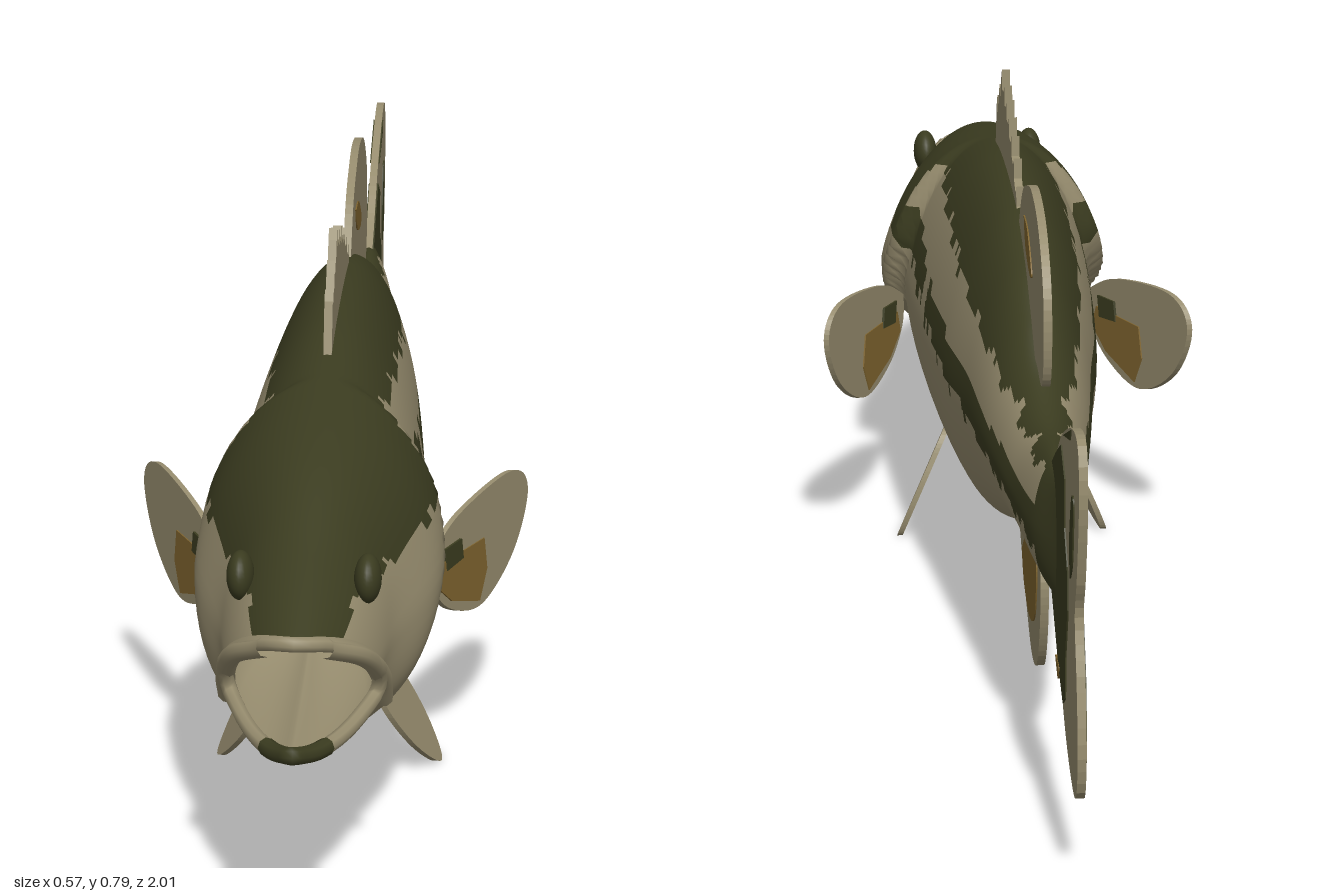
import * as THREE from 'three';

const mat = (name, color, side = THREE.FrontSide) =>
  Object.assign(new THREE.MeshStandardMaterial({ color, side }), { name });
const { lerp, smoothstep } = THREE.MathUtils;

// body stations: z, top y, bottom y, half width
const STATIONS = [
  [-0.72, 0.48, 0.30, 0.006], [-0.64, 0.49, 0.30, 0.036], [-0.5, 0.485, 0.305, 0.055],
  [-0.4, 0.515, 0.29, 0.068], [-0.3, 0.575, 0.255, 0.082], [-0.2, 0.625, 0.22, 0.094],
  [-0.05, 0.66, 0.17, 0.115], [0.2, 0.66, 0.145, 0.135], [0.4, 0.63, 0.16, 0.143],
  [0.6, 0.59, 0.2, 0.135], [0.78, 0.525, 0.25, 0.112], [0.9, 0.48, 0.285, 0.085],
  [0.96, 0.455, 0.305, 0.06], [1.0, 0.43, 0.325, 0.03],
];
// lower edge of the dark back, and centre of the side stripe: z, y
const BACK = [[-0.72, 0.475], [-0.5, 0.47], [-0.35, 0.5], [-0.2, 0.53], [-0.05, 0.557], [0.2, 0.575], [0.42, 0.58]];
const STRIPE = [[-0.72, 0.39], [-0.35, 0.405], [-0.1, 0.43], [0.1, 0.445], [0.42, 0.49]];

// smooth table lookup (cubic with averaged slopes)
function lookup(table, z, col) {
  const n = table.length - 1;
  let i = 0;
  while (i < n - 1 && z > table[i + 1][0]) i++;
  const slope = k => {
    const a = table[Math.max(k - 1, 0)], b = table[Math.min(k + 1, n)];
    return (b[col] - a[col]) / (b[0] - a[0]);
  };
  const [p, q] = [table[i], table[i + 1]], d = q[0] - p[0];
  const t = THREE.MathUtils.clamp((z - p[0]) / d, 0, 1), t2 = t * t, t3 = t2 * t;
  return (2 * t3 - 3 * t2 + 1) * p[col] + (t3 - 2 * t2 + t) * d * slope(i)
    + (3 * t2 - 2 * t3) * q[col] + (t3 - t2) * d * slope(i + 1);
}

// skin point: t runs tail to mouth rim, angle runs from the top round the left side
function skin(t, angle) {
  const c = Math.cos(angle), s = Math.sin(angle), corner = -0.35;
  const end = c > corner ? 0.79 + 0.157 * (c - corner) / 1.35 : 0.79 + 0.21 * (corner - c) / 0.65;
  const z = lerp(-0.72, end, t);
  const top = lookup(STATIONS, z, 1), bottom = lookup(STATIONS, z, 2);
  const y = (top + bottom) / 2 + (top - bottom) / 2 * c;
  // gill cover: raised edge that sweeps forward towards the throat
  const gill = 0.385 + 0.24 * (1 - smoothstep(y, 0.2, 0.48));
  const bump = 0.034 * smoothstep(z, gill - 0.01, gill + 0.012) * (1 - smoothstep(z, gill + 0.06, gill + 0.32));
  const w = lookup(STATIONS, z, 3) * (1 - 0.14 * Math.max(0, c)) + bump;
  return new THREE.Vector3(w * s, y, z);
}

function isDark({ y, z }) {
  const wob = 0.007 * Math.sin(57 * z) + 0.005 * Math.sin(131 * z + 1);
  if (z < -0.645) return true;
  if (z > 0.96 && y < 0.4) return true;
  if (z > 0.405) return y > 0.47 + wob * 0.6 - 0.03 * smoothstep(z, 0.8, 0.95);
  if (y > lookup(BACK, z, 1) + wob) return true;
  if (z > 0.15 && z < 0.19) return false;
  return Math.abs(y - lookup(STRIPE, z, 1) + wob * 0.6) < 0.028 + wob * 0.6;
}

// closed rings of points joined into a surface; pick(p) gives the material index
function loft(rows, cols, point, pick) {
  const pos = [], faces = [[], []];
  for (let i = 0; i <= rows; i++)
    for (let j = 0; j < cols; j++) pos.push(...point(i / rows, j / cols * Math.PI * 2));
  for (let i = 0; i < rows; i++)
    for (let j = 0; j < cols; j++) {
      const k = (j + 1) % cols, a = i * cols + j, b = a + cols, c = i * cols + k, d = c + cols;
      const mid = point((i + 0.5) / rows, (j + 0.5) / cols * Math.PI * 2);
      faces[pick(mid) ? 1 : 0].push(a, b, c, b, d, c);
    }
  const g = new THREE.BufferGeometry();
  g.setAttribute('position', new THREE.Float32BufferAttribute(pos, 3));
  g.setIndex([...faces[0], ...faces[1]]);
  g.addGroup(0, faces[0].length, 0);
  g.addGroup(faces[0].length, faces[1].length, 1);
  g.computeVertexNormals();
  return g;
}

// upright plate from a [z, y] outline; lean(y, z) shifts it sideways
function plate(points, thick, lean = () => 0, smooth = true) {
  const v = points.map(([z, y]) => new THREE.Vector2(-z, y));
  const shape = new THREE.Shape(smooth ? new THREE.SplineCurve([...v, v[0]]).getPoints(64) : v);
  const g = new THREE.ExtrudeGeometry(shape, { depth: thick, bevelEnabled: false });
  g.translate(0, 0, -thick / 2).rotateY(Math.PI / 2);
  const p = g.attributes.position;
  for (let i = 0; i < p.count; i++) p.setX(i, p.getX(i) + lean(p.getY(i), p.getZ(i)));
  g.computeVertexNormals();
  return g;
}

export function createModel() {
  const fish = new THREE.Group();
  fish.name = 'fish';
  const tan = mat('tan', 0x968c6e), dark = mat('dark olive', 0x3b3c20), amber = mat('amber', 0x80652f);
  const inner = mat('mouth tan', 0x968c6e, THREE.DoubleSide);
  const add = (name, geometry, material) => {
    const m = new THREE.Mesh(geometry, material);
    m.name = name;
    fish.add(m);
    return m;
  };
  const tube = (pts, r, closed = false) =>
    new THREE.TubeGeometry(new THREE.CatmullRomCurve3(pts, closed), 48, r, 8, closed);

  // body and head
  add('body', loft(190, 80, skin, isDark), [tan, dark]);

  // mouth hollow and lips
  add('mouthCavity', loft(12, 48, (t, a) => {
    const rim = skin(1, a), s = Math.sqrt(1 - t * t);
    return new THREE.Vector3(rim.x * s, lerp(0.37, rim.y, s), lerp(rim.z, 0.62, t));
  }, () => false), [inner, inner]);
  const rim = (from, to, n) => Array.from({ length: n }, (_, i) => skin(1, lerp(from, to, i / n)));
  add('lips', tube(rim(0, Math.PI * 2, 32), 0.011, true), tan);
  add('lowerLipFront', tube(rim(Math.PI * 0.8, Math.PI * 1.2 + 0.08, 12), 0.0125), dark);

  for (const s of [1, -1]) {
    const side = s > 0 ? 'left' : 'right';
    // upper jaw strap and eye
    const strap = [[0.04, 0.45, 0.93], [0.085, 0.415, 0.87], [0.106, 0.35, 0.79], [0.106, 0.305, 0.755]];
    add(side + 'JawStrap', tube(strap.map(([x, y, z]) => new THREE.Vector3(s * x, y, z)), 0.014), tan);
    const eye = add(side + 'Eye', new THREE.SphereGeometry(0.034, 24, 16), dark);
    eye.scale.x = 0.55;
    eye.position.set(s * 0.086, 0.488, 0.775);

    // pectoral fin, flared out to the rear
    const flare = (y, z) => s * (0.15 + (0.4 - z) * 0.53);
    add(side + 'PectoralFin', plate([[0.4, 0.37], [0.33, 0.41], [0.2, 0.428], [0.155, 0.385],
      [0.19, 0.3], [0.27, 0.247], [0.35, 0.27], [0.395, 0.32]], 0.008, flare), tan);
    add(side + 'PectoralPatch', plate([[0.375, 0.35], [0.27, 0.35], [0.262, 0.3], [0.28, 0.255],
      [0.35, 0.282], [0.385, 0.315]], 0.012, flare, false), amber);
    add(side + 'PectoralSpot', plate([[0.37, 0.37], [0.33, 0.372], [0.325, 0.34], [0.365, 0.335]],
      0.015, flare, false), dark);

    // pelvic fin, splayed down and out
    const splay = (y, z) => s * (0.07 + (0.165 - y) * 0.42 + (0.4 - z) * 0.22);
    add(side + 'PelvicFin', plate([[0.4, 0.175], [0.385, 0.11], [0.345, 0.045], [0.29, 0.004],
      [0.272, 0.05], [0.28, 0.12], [0.31, 0.175]], 0.009, splay), tan);
  }

  // spiny front back fin: each spine tip is followed by a notch
  const heights = [0.73, 0.76, 0.795, 0.782, 0.772, 0.758, 0.742, 0.72, 0.69];
  const spines = heights.flatMap((y, i) => {
    const z = 0.285 - i * 0.042;
    return [[z + 0.012, y - 0.014], [z, y], [z - 0.003, y - 0.03]];
  });
  add('spinyDorsalFin', plate([[0.2, 0.63], [0.325, 0.63], ...spines, [-0.085, 0.65], [-0.08, 0.63]],
    0.012, undefined, false), tan);

  // soft back fin
  add('softDorsalFin', plate([[-0.09, 0.64], [-0.155, 0.715], [-0.23, 0.75], [-0.31, 0.765], [-0.41, 0.745],
    [-0.485, 0.68], [-0.497, 0.595], [-0.47, 0.532], [-0.4, 0.535], [-0.34, 0.54], [-0.22, 0.59]], 0.012), tan);
  add('softDorsalPatch', plate([[-0.2, 0.695], [-0.26, 0.69], [-0.32, 0.65], [-0.3, 0.637], [-0.23, 0.655]], 0.016), amber);

  // anal fin
  add('analFin', plate([[-0.1, 0.19], [-0.15, 0.15], [-0.22, 0.105], [-0.315, 0.06], [-0.395, 0.075],
    [-0.445, 0.15], [-0.455, 0.235], [-0.4, 0.27], [-0.25, 0.25]], 0.012), tan);
  add('analPatch', plate([[-0.17, 0.165], [-0.21, 0.125], [-0.3, 0.11], [-0.38, 0.145], [-0.41, 0.23],
    [-0.37, 0.26], [-0.27, 0.235]], 0.016), amber);

  // tail fin and its markings
  add('tailFin', plate([[-0.64, 0.488], [-0.7, 0.525], [-0.77, 0.575], [-0.9, 0.632], [-0.98, 0.635],
    [-0.999, 0.56], [-0.975, 0.45], [-0.95, 0.385], [-0.98, 0.3], [-0.999, 0.2], [-0.965, 0.13],
    [-0.85, 0.155], [-0.745, 0.225], [-0.64, 0.3]], 0.012), tan);
  add('tailBase', plate([[-0.64, 0.485], [-0.7, 0.522], [-0.77, 0.56], [-0.82, 0.53], [-0.82, 0.46],
    [-0.86, 0.42], [-0.87, 0.36], [-0.84, 0.28], [-0.84, 0.22], [-0.81, 0.2], [-0.745, 0.228], [-0.64, 0.3]],
  0.016, undefined, false), dark);
  add('tailSpot', plate([[-0.9, 0.42], [-0.93, 0.46], [-0.94, 0.54], [-0.915, 0.54], [-0.89, 0.47]], 0.016), dark);
  add('tailLowerLobe', plate([[-0.84, 0.37], [-0.93, 0.385], [-0.97, 0.3], [-0.985, 0.2], [-0.955, 0.14],
    [-0.85, 0.165], [-0.82, 0.22]], 0.004, () => -0.006, false), dark);
  add('tailUpperTip', plate([[-0.8, 0.585], [-0.9, 0.63], [-0.89, 0.612]], 0.016, undefined, false), dark);
  add('tailPatch', plate([[-0.71, 0.228], [-0.76, 0.232], [-0.75, 0.21], [-0.735, 0.215]], 0.018), amber);
  return fish;
}
